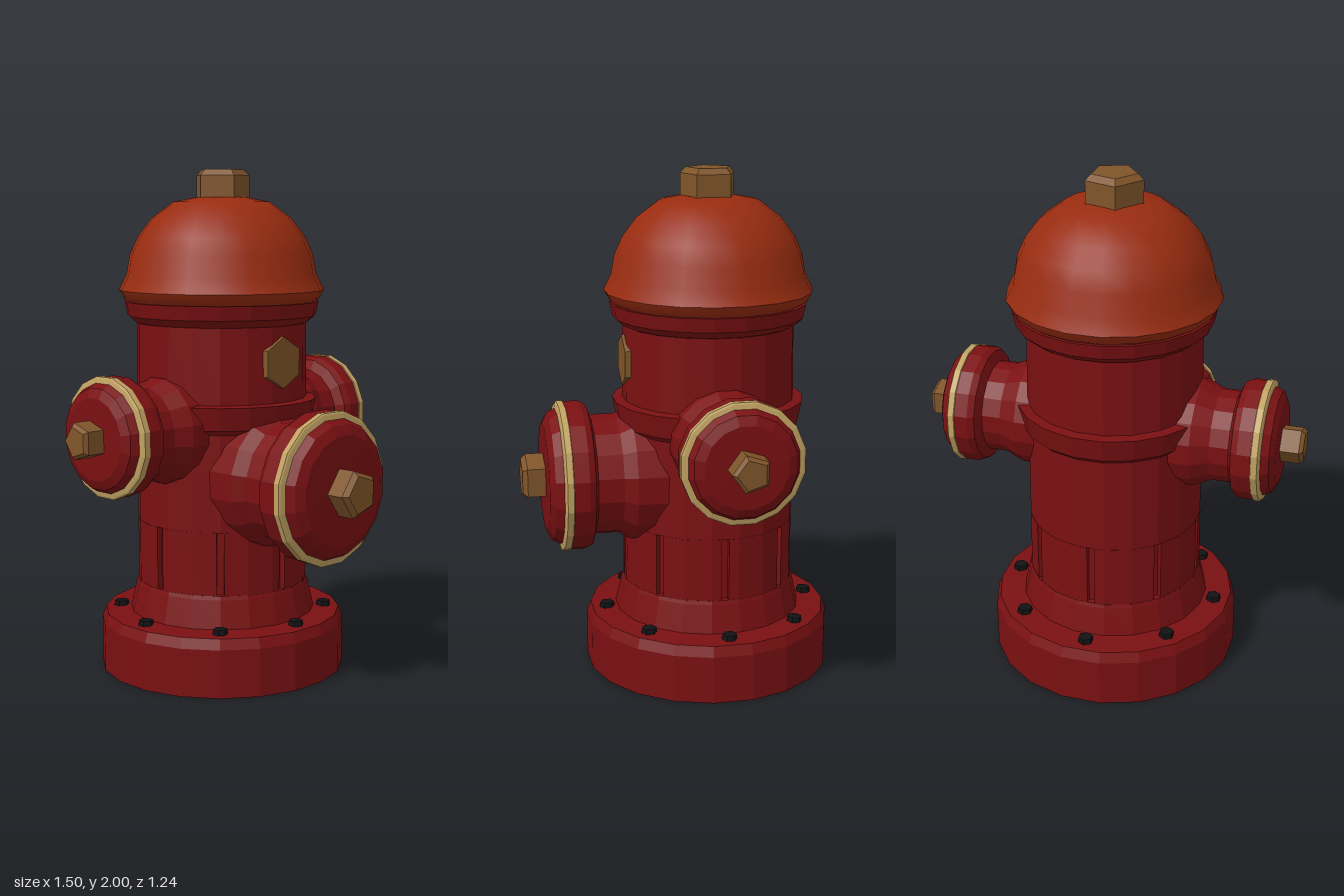
import * as THREE from 'three';
import { toCreasedNormals } from 'three/addons/utils/BufferGeometryUtils.js';

const AXIS_Z = -0.13;
const SIDES = 20;

function material(name, color) {
  const m = new THREE.MeshStandardMaterial({ color });
  m.name = name;
  return m;
}

function faceted(geometry) {
  const g = geometry.index ? geometry.toNonIndexed() : geometry;
  g.computeVertexNormals();
  return g;
}

// Revolve [radius, height] pairs; radii are measured to the middle of a side
function turned(profile, sides, start = Math.PI / sides, toFlat = true) {
  const k = toFlat ? 1 / Math.cos(Math.PI / sides) : 1;
  const pts = profile.map(([r, y]) => new THREE.Vector2(r * k, y));
  return new THREE.LatheGeometry(pts, sides, start);
}

function add(parent, name, geometry, mat) {
  const mesh = new THREE.Mesh(geometry, mat);
  mesh.name = name;
  parent.add(mesh);
  return mesh;
}

// Five-sided operating nut with a bevelled end
function nutGeometry(r, y0, y1) {
  const b = r * 0.2;
  return faceted(turned([[r, y0], [r, y1 - b], [r - b, y1], [0, y1]], 5, -Math.PI / 2, false));
}

// Barrel slice with eight shallow upright grooves
function groovedBand(apothem, height) {
  const step = (2 * Math.PI) / SIDES;
  const radiusAt = (a) => {
    const off = a - Math.round(a / step) * step;
    return apothem / Math.cos(off);
  };
  const outline = [];
  for (let i = 0; i < SIDES; i++) outline.push([(i + 0.5) * step, 0]);
  const points = outline.filter(([a]) => {
    const q = a / (Math.PI / 4);
    return Math.abs(q - Math.round(q)) > 0.1;
  });
  const half = 0.043;
  for (let k = 0; k < 8; k++) {
    const a = (k * Math.PI) / 4;
    points.push([a - half, 0], [a - half + 0.001, 0.022], [a + half - 0.001, 0.022], [a + half, 0]);
  }
  points.sort((p, q) => p[0] - q[0]);
  const shape = new THREE.Shape(points.map(([a, depth]) => {
    const r = radiusAt(a) - depth;
    return new THREE.Vector2(r * Math.cos(a), r * Math.sin(a));
  }));
  const g = new THREE.ExtrudeGeometry(shape, { depth: height, bevelEnabled: false });
  return faceted(g.rotateX(-Math.PI / 2));
}

export function createModel() {
  const red = material('deep red paint', 0x7a1012);
  const orange = material('burnt orange paint', 0x982c10);
  const bronze = material('bronze', 0x80552a);
  const brass = material('pale brass', 0xc2a262);
  const black = material('black iron', 0x121214);

  const model = new THREE.Group();
  model.name = 'fireHydrant';
  const core = new THREE.Group();
  core.name = 'barrelAssembly';
  core.position.z = AXIS_Z;
  model.add(core);

  // Base flange and flared foot
  add(core, 'baseFlange', faceted(turned([
    [0, 0], [0.488, 0], [0.488, 0.19], [0.472, 0.23], [0.37, 0.235],
    [0.345, 0.345], [0.34, 0.36], [0, 0.36],
  ], SIDES)), red);

  // Grooved lower barrel
  const band = add(core, 'groovedBarrel', groovedBand(0.339, 0.25), red);
  band.position.y = 0.36;

  // Upper barrel with waist ring and collar
  add(core, 'upperBarrel', faceted(turned([
    [0, 0.61], [0.338, 0.61], [0.335, 0.99], [0.357, 1.01], [0.375, 1.1],
    [0.337, 1.105], [0.333, 1.4], [0.345, 1.405], [0.372, 1.43], [0.383, 1.485], [0, 1.49],
  ], SIDES)), red);

  // Domed bonnet, smooth
  add(core, 'bonnet', toCreasedNormals(turned([
    [0.37, 1.485], [0.385, 1.495], [0.404, 1.53], [0.375, 1.59], [0.36, 1.67],
    [0.328, 1.74], [0.275, 1.81], [0.19, 1.875], [0.1, 1.893], [0, 1.895],
  ], SIDES), 0.9), orange);
  add(core, 'topNut', nutGeometry(0.112, 1.88, 2.0), bronze);

  // Flange bolts
  const bolts = new THREE.Group();
  bolts.name = 'flangeBolts';
  core.add(bolts);
  for (let i = 0; i < 8; i++) {
    const a = (i * Math.PI) / 4;
    const bolt = add(bolts, 'flangeBolt', faceted(new THREE.CylinderGeometry(0.028, 0.032, 0.03, 6)), black);
    bolt.position.set(0.415 * Math.sin(a), 0.237, 0.415 * Math.cos(a));
  }

  // Six-sided badge on the front of the barrel
  const badge = faceted(new THREE.CylinderGeometry(0.1, 0.105, 0.025, 6).rotateY(Math.PI).rotateX(Math.PI / 2));
  add(core, 'hexBadge', badge, bronze).position.set(0, 1.26, 0.333);

  // Outlet built along +z from the barrel axis
  function outlet(name, y, turn, neck, ring, nut) {
    const g = new THREE.Group();
    g.name = name;
    g.position.y = y;
    g.rotation.y = turn;
    const part = (label, profile, mat) =>
      add(g, label, faceted(turned(profile, 16).rotateX(Math.PI / 2)), mat);
    const { r, inner, back, front, end, endRadius } = ring;
    part('outletNeck', neck.concat([[r - 0.012, back - 0.015], [r, back + 0.01], [r, front - 0.03]]), red);
    part('outletRing', [[r, front - 0.03], [r + 0.003, front - 0.028], [r + 0.003, front - 0.004],
      [r - 0.004, front], [inner, front + 0.004]], brass);
    part('outletCap', [[inner, front + 0.004], [(inner + endRadius) / 2 + 0.01, (front + end) / 2 + 0.008],
      [endRadius, end], [0, end + 0.002]], red);
    add(g, 'outletNut', nutGeometry(nut.r, end - 0.01, nut.end).rotateX(Math.PI / 2), bronze);
    core.add(g);
  }

  outlet('frontOutlet', 0.8, 0,
    [[0.265, 0.2], [0.265, 0.325], [0.234, 0.375], [0.234, 0.475]],
    { r: 0.29, inner: 0.266, back: 0.505, front: 0.605, end: 0.66, endRadius: 0.21 },
    { r: 0.095, end: 0.75 });
  for (const [name, side] of [['leftOutlet', 1], ['rightOutlet', -1]]) {
    outlet(name, 0.995, side * Math.PI / 2,
      [[0.205, 0.2], [0.205, 0.345], [0.175, 0.415], [0.175, 0.488]],
      { r: 0.227, inner: 0.206, back: 0.52, front: 0.612, end: 0.662, endRadius: 0.155 },
      { r: 0.074, end: 0.75 });
  }

  return model;
}
